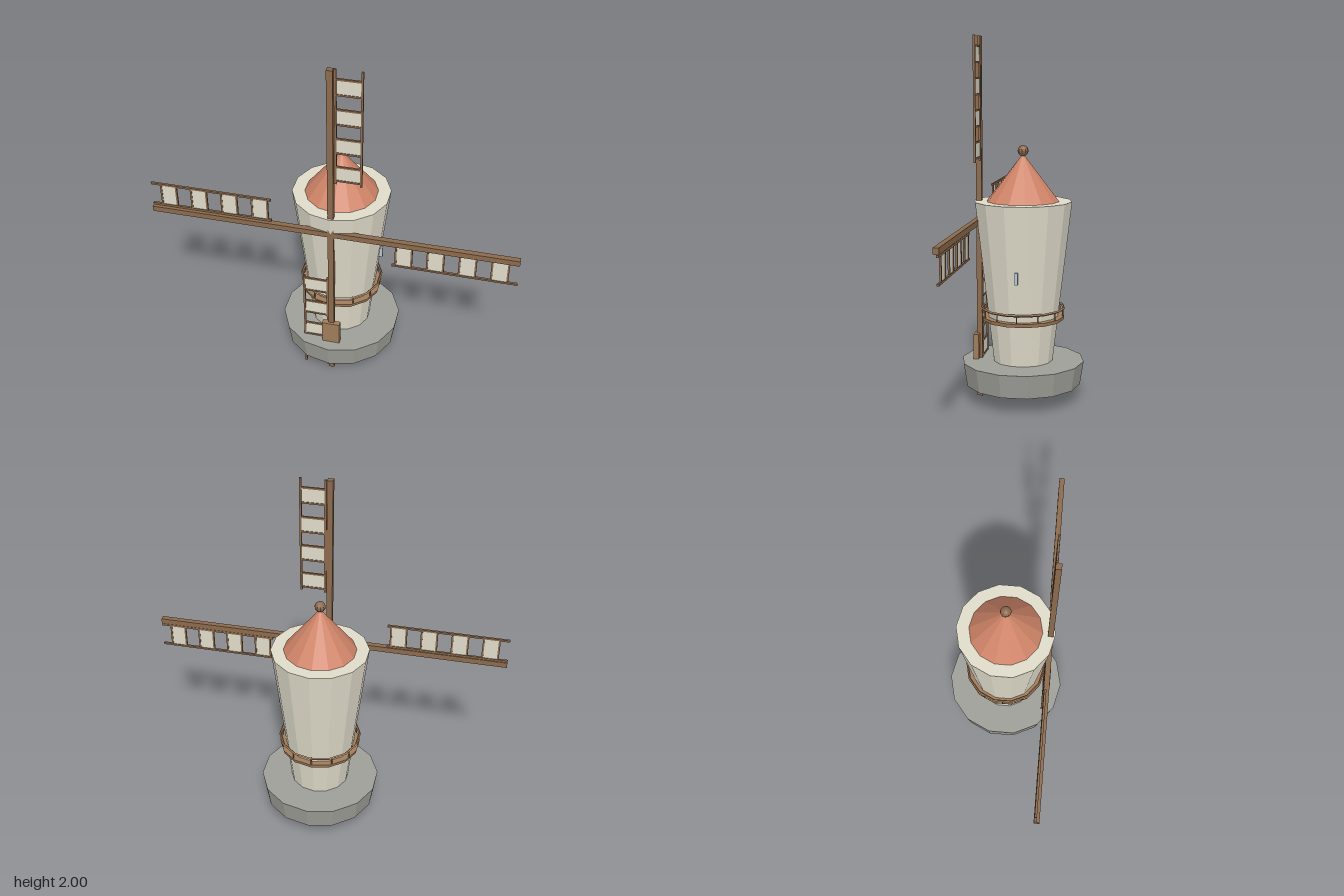
import * as THREE from 'three';

const mat = (color, extra = {}) => new THREE.MeshStandardMaterial({ color, flatShading: true, ...extra });
const SIDES = 14;

export function createModel() {
  const model = new THREE.Group();
  model.name = 'windmill';
  const stone = mat(0x9f9f99), plaster = mat(0xe0dccb), tile = mat(0xcf8468);
  const wood = mat(0x8b6a4d), lightWood = mat(0xa07c5a), glass = mat(0xb9c6d6);
  const cloth = mat(0xe0dccb);

  function add(parent, name, geometry, material, x = 0, y = 0, z = 0) {
    const mesh = new THREE.Mesh(geometry, material);
    mesh.name = name;
    mesh.position.set(x, y, z);
    parent.add(mesh);
    return mesh;
  }
  const box = (w, h, d) => new THREE.BoxGeometry(w, h, d);
  // Faceted drum between two heights
  function drum(name, rTop, rBottom, y0, y1, material) {
    return add(model, name, new THREE.CylinderGeometry(rTop, rBottom, y1 - y0, SIDES), material, 0, (y0 + y1) / 2);
  }

  // Body
  drum('base', 0.34, 0.32, 0.09, 0.22, stone);
  drum('tower', 0.27, 0.165, 0.21, 1.11, plaster);
  drum('roof', 0, 0.2, 1.11, 1.37, tile);
  add(model, 'finial', new THREE.SphereGeometry(0.03, 10, 8), wood, 0, 1.385);
  add(model, 'door', box(0.1, 0.14, 0.03), lightWood, 0, 0.29, 0.257);
  add(model, 'window', box(0.03, 0.064, 0.016), glass, 0.222, 0.72, 0);

  // Balcony: deck, posts and handrail
  drum('balconyDeck', 0.23, 0.226, 0.453, 0.473, lightWood);
  const rail = add(model, 'balconyRail', new THREE.TorusGeometry(0.228, 0.007, 4, SIDES), lightWood, 0, 0.518);
  rail.rotation.set(-Math.PI / 2, 0, -Math.PI / 2);
  for (let i = 0; i < 12; i++) {
    const a = (i / 12) * Math.PI * 2;
    add(model, 'balconyPost', box(0.006, 0.05, 0.006), wood, Math.sin(a) * 0.222, 0.495, Math.cos(a) * 0.222);
  }

  // Four sails turned about the hub
  const sails = new THREE.Group();
  sails.name = 'sails';
  sails.position.set(0, 1, 0.243);
  model.add(sails);
  for (let s = 0; s < 4; s++) {
    const sail = new THREE.Group();
    sail.name = 'sail';
    sail.rotation.z = (s * Math.PI) / 2;
    sails.add(sail);
    add(sail, 'spar', box(0.032, 1, 0.03), wood, 0, 0.5, 0);
    add(sail, 'innerStile', box(0.012, 0.67, 0.012), wood, 0.024, 0.665, -0.008);
    add(sail, 'outerStile', box(0.011, 0.67, 0.012), wood, 0.158, 0.665, -0.008);
    for (let i = 0; i < 8; i++) {
      const y = 0.35 + i * 0.085;
      add(sail, 'rung', box(0.135, 0.01, 0.01), wood, 0.09, y, -0.008);
      if (i % 2 === 0) add(sail, 'sailPanel', box(0.124, 0.085, 0.004), cloth, 0.091, y + 0.0425, -0.008);
    }
  }
  return model;
}
